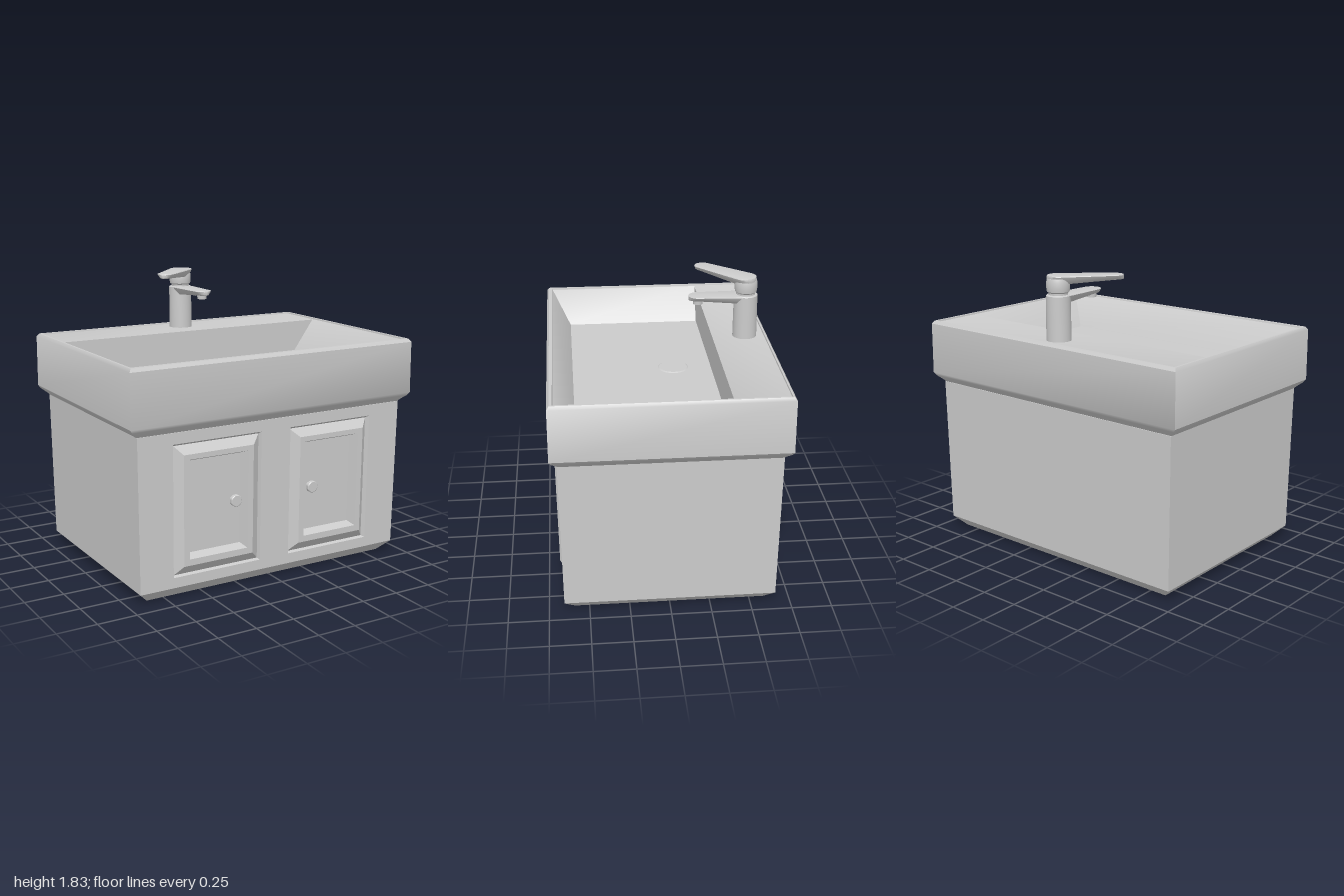
import * as THREE from 'three';
import { toCreasedNormals } from 'three/addons/utils/BufferGeometryUtils.js';

const grey = new THREE.MeshStandardMaterial({ color: 0xcccccc });

function add(parent, name, geo, x = 0, y = 0, z = 0) {
  const m = new THREE.Mesh(geo, grey);
  m.name = name;
  m.position.set(x, y, z);
  parent.add(m);
  return m;
}

// Skin over rectangular rings [x0, x1, z0, z1, y]; skip(segment, side) leaves a face open
function loft(rings, { start = false, end = false, skip = () => false } = {}) {
  const pts = rings.map(([x0, x1, z0, z1, y]) => [[x0, y, z1], [x1, y, z1], [x1, y, z0], [x0, y, z0]]);
  const pos = [];
  const quad = (a, b, c, d) => pos.push(...a, ...b, ...c, ...a, ...c, ...d);
  for (let s = 0; s < pts.length - 1; s++) {
    for (let i = 0; i < 4; i++) {
      const j = (i + 1) % 4;
      if (!skip(s, i)) quad(pts[s][i], pts[s][j], pts[s + 1][j], pts[s + 1][i]);
    }
  }
  if (start) quad(...[...pts[0]].reverse());
  if (end) quad(...pts[pts.length - 1]);
  const g = new THREE.BufferGeometry();
  g.setAttribute('position', new THREE.Float32BufferAttribute(pos, 3));
  g.computeVertexNormals();
  return toCreasedNormals(g, 0.6);
}

const ring = (x, z, y) => [-x, x, -z, z, y];

// Lean flat front parts to follow the cabinet's slightly flared front
function onFront(geo) {
  const p = geo.attributes.position;
  for (let i = 0; i < p.count; i++) {
    p.setZ(i, p.getZ(i) + 0.655 + (p.getY(i) - 0.07) * 0.0104);
  }
  return geo;
}

// Tapered rounded blade along +z with its top at y = 0 and a narrowed, rising underside
function blade(r1, r2, length, h) {
  const s = new THREE.Shape();
  s.absarc(0, 0, r1 - 0.006, Math.PI, Math.PI * 2);
  s.absarc(0, length, r2 - 0.006, 0, Math.PI);
  const g = new THREE.ExtrudeGeometry(s, {
    depth: h - 0.012, bevelThickness: 0.006, bevelSize: 0.006, bevelSegments: 2, curveSegments: 20, steps: 3,
  });
  g.translate(0, 0, 0.006).rotateX(Math.PI / 2);
  const p = g.attributes.position;
  for (let i = 0; i < p.count; i++) {
    const k = Math.max(0, -p.getY(i) / h - 0.2);
    const t = THREE.MathUtils.clamp(p.getZ(i) / length, 0, 1);
    p.setX(i, p.getX(i) * (1 - 0.5 * k));
    p.setY(i, p.getY(i) * (1 - 0.45 * t));
  }
  g.computeVertexNormals();
  return toCreasedNormals(g, 0.7);
}

function rectPath(x0, x1, y0, y1) {
  return new THREE.Path([[x0, y0], [x0, y1], [x1, y1], [x1, y0]].map(([x, y]) => new THREE.Vector2(x, y)));
}

function makeCabinet() {
  const g = new THREE.Group();
  g.name = 'cabinet';
  add(g, 'cabinetBody', loft([ring(0.86, 0.59, 0), ring(0.93, 0.655, 0.07), ring(0.94, 0.665, 1.03)],
    { start: true, end: true, skip: (s, i) => s === 1 && i === 0 }));

  // Front panel with two door openings
  const front = new THREE.Shape([[-0.93, 0.07], [0.93, 0.07], [0.94, 1.03], [-0.94, 1.03]]
    .map(([x, y]) => new THREE.Vector2(x, y)));
  front.holes.push(rectPath(-0.71, -0.105, 0.135, 0.96), rectPath(0.105, 0.71, 0.135, 0.96));
  add(g, 'cabinetFront', onFront(new THREE.ShapeGeometry(front)));

  for (const side of [-1, 1]) {
    // Groove, raised moulding and recessed panel: [inner x, outer x, y0, y1, depth]
    const steps = [
      [0.105, 0.71, 0.135, 0.96, 0],
      [0.112, 0.697, 0.142, 0.945, -0.025],
      [0.17, 0.648, 0.2, 0.892, 0.018],
      [0.208, 0.61, 0.24, 0.86, 0.018],
      [0.23, 0.588, 0.262, 0.838, -0.04],
    ];
    const rings = steps.map(([a, b, y0, y1, d]) =>
      (side > 0 ? [a, b, -y1, -y0, d] : [-b, -a, -y1, -y0, d]));
    add(g, 'door', onFront(loft(rings, { end: true }).rotateX(Math.PI / 2)));

    const knob = [[0.022, 0], [0.022, 0.02], [0.037, 0.025], [0.037, 0.044], [0.033, 0.048], [0, 0.048]]
      .map(([r, y]) => new THREE.Vector2(r, y));
    add(g, 'doorKnob', toCreasedNormals(new THREE.LatheGeometry(knob, 28), 0.6).rotateX(Math.PI / 2),
      side * 0.28, 0.55, 0.62);
  }
  return g;
}

function makeBasin() {
  const g = new THREE.Group();
  g.name = 'basin';
  // Outer wall, rim, rear ledge, sloped bowl and floor in one skin
  add(g, 'basinShell', loft([
    ring(0.94, 0.66, 1.03), ring(0.955, 0.672, 1.045), ring(0.985, 0.698, 1.07), ring(1, 0.71, 1.09),
    ring(0.998, 0.708, 1.42), ring(0.985, 0.694, 1.44),
    [-0.972, 0.972, -0.685, 0.675, 1.44],
    [-0.97, 0.97, -0.683, 0.672, 1.43],
    [-0.965, 0.965, -0.35, 0.668, 1.428],
    [-0.81, 0.81, -0.345, 0.55, 1.22],
  ], { end: true }));
  add(g, 'drain', new THREE.CylinderGeometry(0.09, 0.1, 0.006, 40), 0, 1.222, -0.1);
  return g;
}

function makeFaucet() {
  const g = new THREE.Group();
  g.name = 'faucet';
  // Body of revolution with a narrow groove under the handle neck
  const profile = [[0.077, 1.42], [0.075, 1.705], [0.07, 1.71], [0.06, 1.711], [0.06, 1.722],
    [0.069, 1.73], [0.072, 1.75], [0.072, 1.79], [0.066, 1.81], [0, 1.81]]
    .map(([r, y]) => new THREE.Vector2(r, y));
  add(g, 'faucetBody', toCreasedNormals(new THREE.LatheGeometry(profile, 40), 0.6), 0, 0, -0.56);
  add(g, 'spout', blade(0.07, 0.06, 0.305, 0.056), 0, 1.709, -0.56);
  add(g, 'aerator', new THREE.CylinderGeometry(0.032, 0.03, 0.03, 28), 0, 1.668, -0.255);
  add(g, 'handle', blade(0.075, 0.055, 0.335, 0.055), 0, 1.828, -0.55).rotation.y = -Math.PI / 4;
  return g;
}

export function createModel() {
  const model = new THREE.Group();
  model.name = 'bathroomVanity';
  model.add(makeCabinet(), makeBasin(), makeFaucet());
  return model;
}
